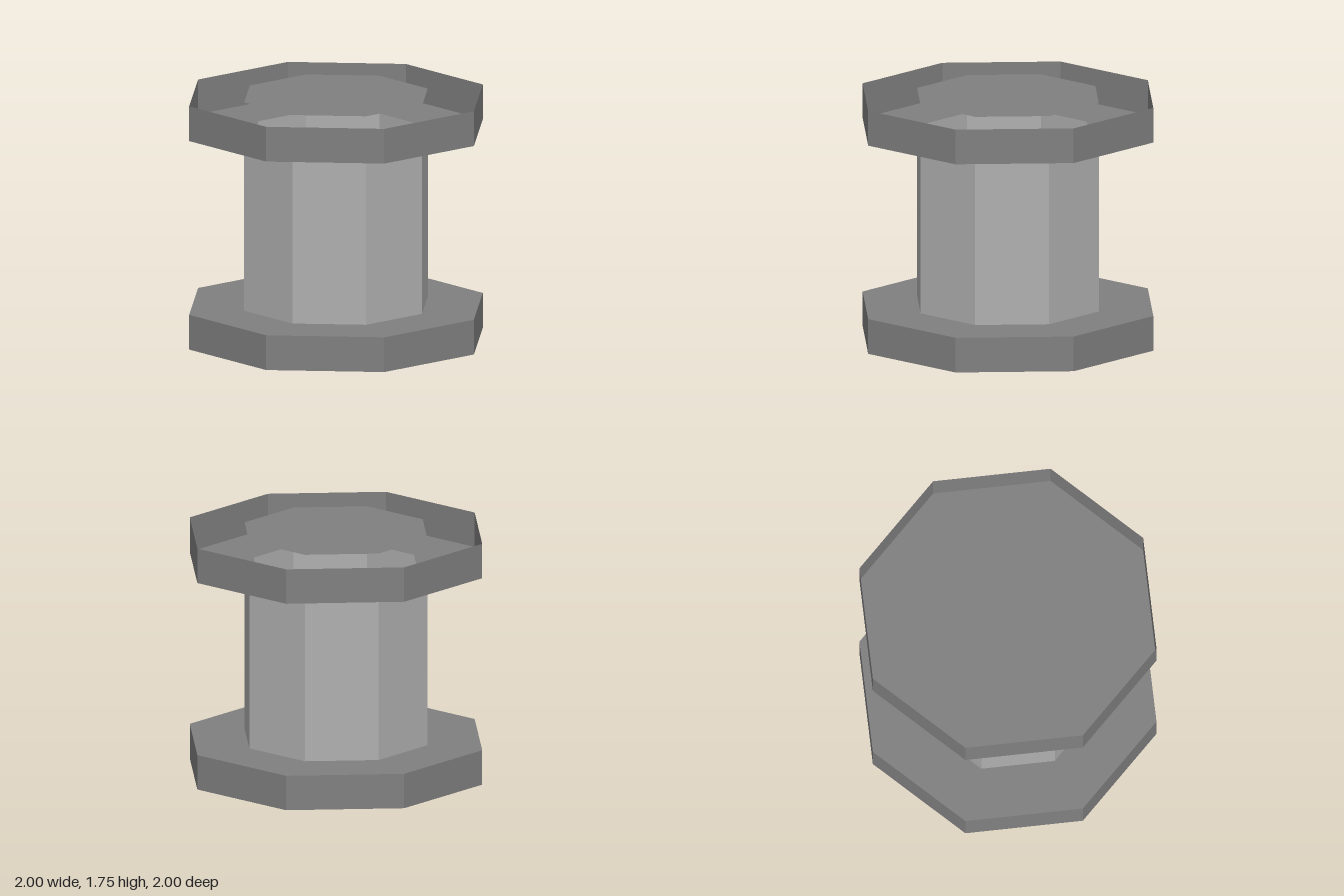
import * as THREE from 'three';

const SIDES = 8;
const TURN = Math.PI / SIDES; // puts a flat face at the front

export function createModel() {
  const group = new THREE.Group();
  const material = (name, color) => {
    const m = new THREE.MeshStandardMaterial({ color, flatShading: true, side: THREE.DoubleSide });
    m.name = name;
    return m;
  };
  const darkGrey = material('dark grey', 0x808080);
  const lightGrey = material('light grey', 0xafafaf);

  const corner = (apothem) => apothem / Math.cos(TURN);

  function add(name, geometry, mat, y) {
    const mesh = new THREE.Mesh(geometry, mat);
    mesh.name = name;
    mesh.position.y = y;
    group.add(mesh);
  }

  // Open octagonal wall between two heights
  function wall(name, apothem, y0, y1, mat) {
    const r = corner(apothem);
    const g = new THREE.CylinderGeometry(r, r, y1 - y0, SIDES, 1, true, TURN);
    add(name, g, mat, (y0 + y1) / 2);
  }

  // Hollow column
  wall('column', 0.625, 0.25, 1.5, lightGrey);

  // Mirrored flanges: rim wall, ring floor with an opening, and a flat plate level with the rim's edge
  for (const [side, floorY, edgeY, facing] of [['top', 1.5, 1.75, -1], ['bottom', 0.25, 0, 1]]) {
    wall(side + 'Rim', 1, Math.min(floorY, edgeY), Math.max(floorY, edgeY), darkGrey);

    const floor = new THREE.RingGeometry(corner(0.5625), corner(1), SIDES, 1, TURN);
    add(side + 'Floor', floor.rotateX(facing * Math.PI / 2), darkGrey, floorY);

    const plate = new THREE.CircleGeometry(corner(0.625), SIDES, TURN);
    add(side + 'Plate', plate.rotateX(facing * Math.PI / 2), darkGrey, edgeY);
  }
  return group;
}
